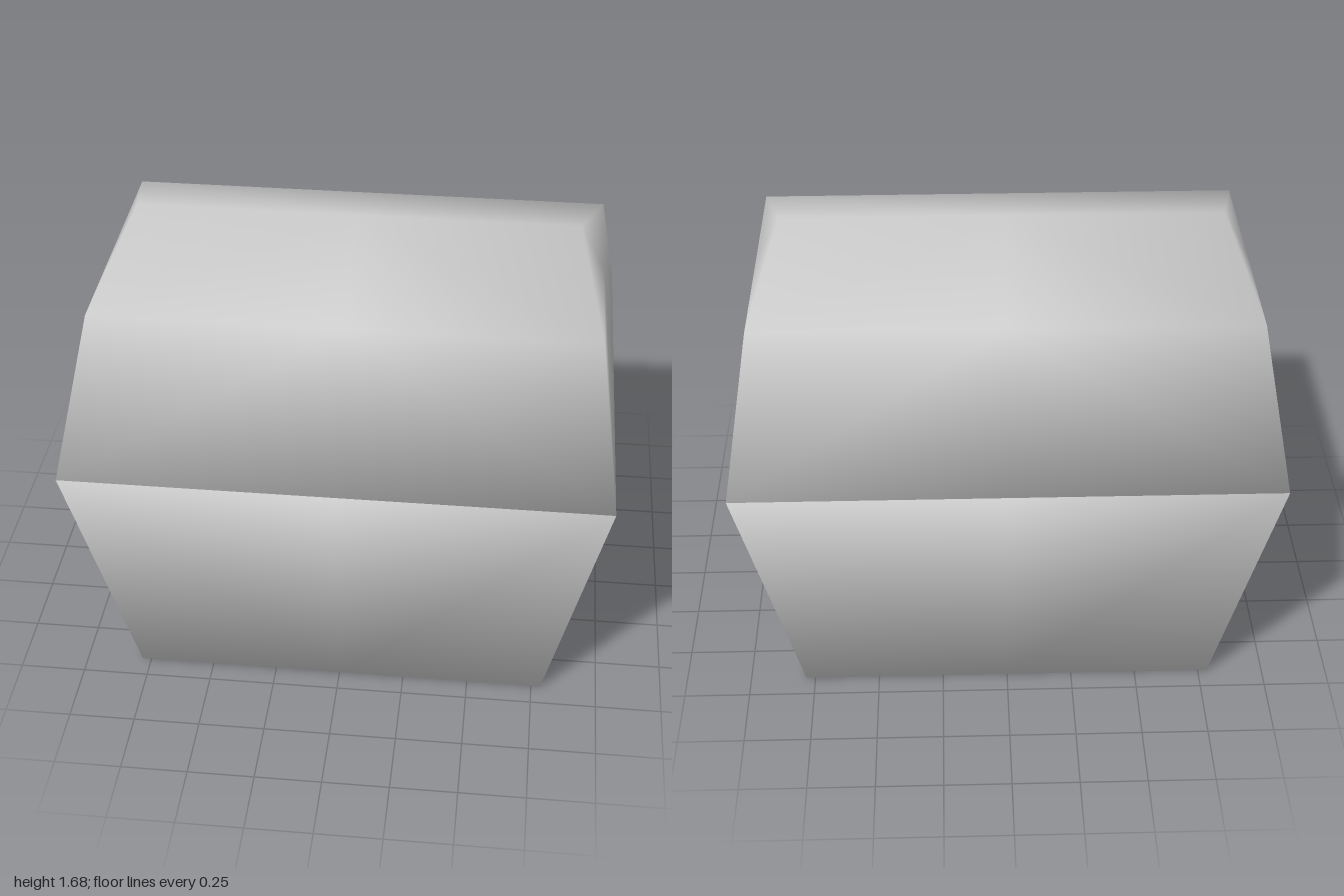
import * as THREE from 'three';
import { mergeVertices } from 'three/addons/utils/BufferGeometryUtils.js';

// Mirrors the triangles of one quarter (+x, +z) into a closed, symmetric solid.
function quarterSolid(points, triangles) {
  const pos = [];
  for (const sx of [1, -1]) for (const sz of [1, -1]) {
    for (const tri of triangles) {
      const names = sx * sz > 0 ? [...tri] : [...tri].reverse();
      for (const n of names) {
        const [x, y, z] = points[n];
        pos.push(x * sx, y, z * sz);
      }
    }
  }
  const geo = new THREE.BufferGeometry();
  geo.setAttribute('position', new THREE.Float32BufferAttribute(pos, 3));
  return smoothByAngle(mergeVertices(geo, 1e-4));
}

// Smooth normals, each face weighted by its corner angle.
function smoothByAngle(geo) {
  const p = geo.attributes.position, idx = geo.index;
  const sums = Array.from({ length: p.count }, () => new THREE.Vector3());
  for (let i = 0; i < idx.count; i += 3) {
    const ids = [0, 1, 2].map(k => idx.getX(i + k));
    const v = ids.map(id => new THREE.Vector3().fromBufferAttribute(p, id));
    const n = new THREE.Triangle(...v).getNormal(new THREE.Vector3());
    ids.forEach((id, k) => {
      const e1 = v[(k + 1) % 3].clone().sub(v[k]);
      const e2 = v[(k + 2) % 3].clone().sub(v[k]);
      sums[id].addScaledVector(n, e1.angleTo(e2));
    });
  }
  const normals = sums.flatMap(s => s.normalize().toArray());
  geo.setAttribute('normal', new THREE.Float32BufferAttribute(normals, 3));
  return geo;
}

export function createModel() {
  const group = new THREE.Group();
  group.name = 'chest';
  const grey = new THREE.MeshStandardMaterial({ color: 0xcccccc });
  grey.name = 'light grey';

  const add = (name, points, triangles) => {
    const mesh = new THREE.Mesh(quarterSolid(points, triangles), grey);
    mesh.name = name;
    group.add(mesh);
  };

  // Shared rim: A corner, B front middle, C side middle, D centre
  const rim = { A: [1, 1, 0.84], B: [0, 1, 0.84], C: [1, 1, 0], D: [0, 1, 0] };

  // Tapered body, narrower at the floor
  add('body', {
    ...rim,
    a: [0.785, 0, 0.66], b: [0, 0, 0.66], c: [0.785, 0, 0], d: [0, 0, 0],
  }, ['baA', 'bAB', 'acA', 'cCA', 'dca', 'dab', 'DBA', 'DAC']);

  // Faceted lid: E shoulder corner, F shoulder middle, I end middle, G and H ridge
  add('lid', {
    ...rim,
    E: [0.925, 1.5, 0.515], F: [0, 1.5, 0.515], I: [0.925, 1.5, 0],
    G: [0.83, 1.68, 0], H: [0, 1.68, 0],
  }, ['BAF', 'AEF', 'ACI', 'AIE', 'EIG', 'FEH', 'EGH', 'DCA', 'DAB']);

  return group;
}
